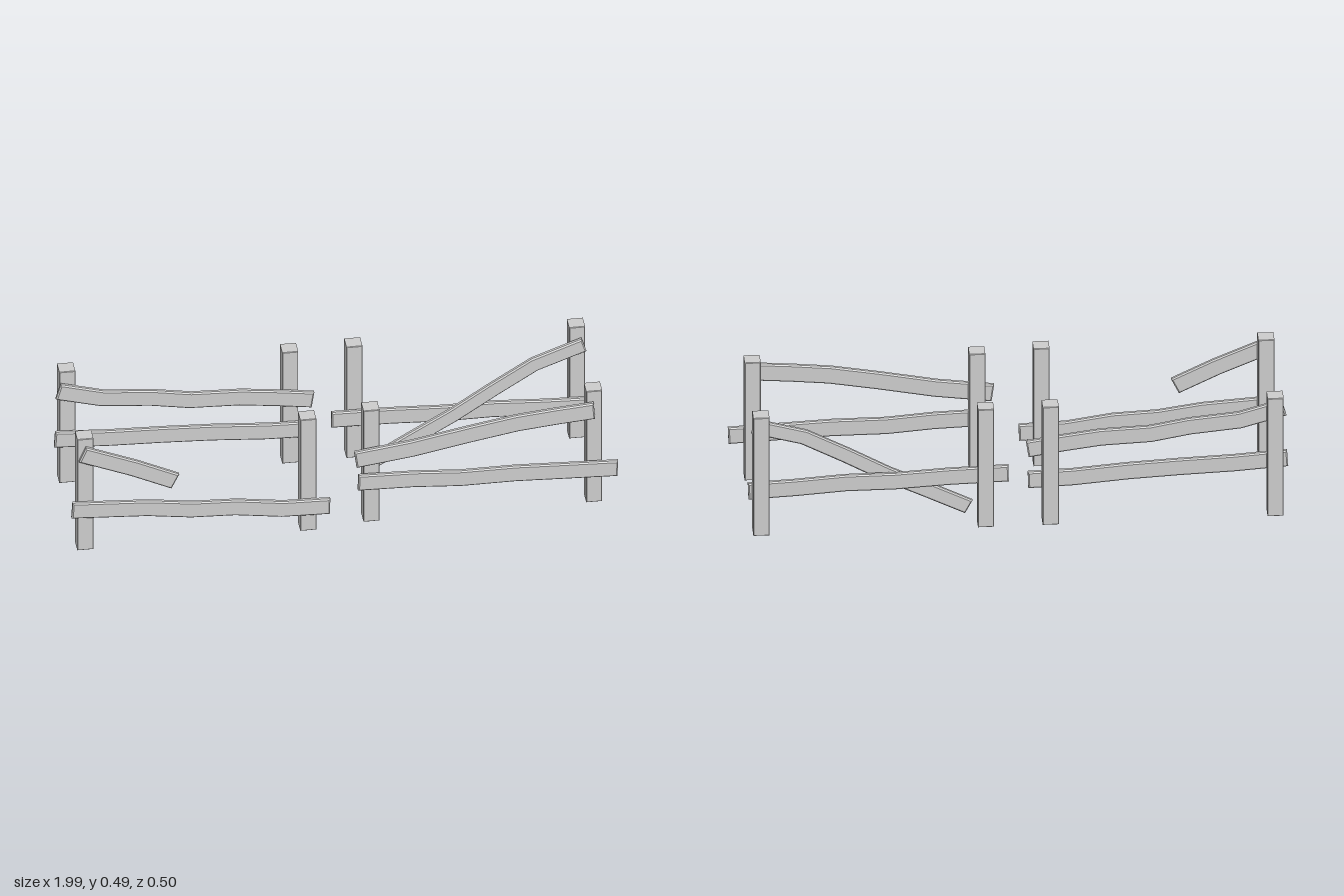
import * as THREE from 'three';

const material = new THREE.MeshStandardMaterial({ color: 0xcccccc, flatShading: true });

// Extrude an outline to a given total depth, centred on z, with a small chamfer
function chamfered(outline, depth, bevel) {
  const geometry = new THREE.ExtrudeGeometry(new THREE.Shape(outline), {
    depth: depth - 2 * bevel,
    bevelEnabled: true,
    bevelThickness: bevel,
    bevelSize: bevel,
    bevelOffset: -bevel,
    bevelSegments: 1,
  });
  return geometry.translate(0, 0, bevel - depth / 2);
}

// Upright square post
function makePost(x, z) {
  const w = 0.029;
  const outline = [[-w, 0.005], [w, 0.005], [w, 0.49], [-w, 0.49]].map(p => new THREE.Vector2(...p));
  const post = new THREE.Mesh(chamfered(outline, 0.058, 0.002), material);
  post.name = 'post';
  post.position.set(x, 0, z);
  return post;
}

// Warped plank: a board of constant thickness following a bent centre line
function makePlank(name, points, z, width = 0.066) {
  const line = points.map(p => new THREE.Vector2(...p));
  const top = [], bottom = [];
  line.forEach((p, i) => {
    const a = line[Math.max(i - 1, 0)], b = line[Math.min(i + 1, line.length - 1)];
    const dir = b.clone().sub(a).normalize();
    const normal = new THREE.Vector2(-dir.y, dir.x).multiplyScalar(width / 2);
    top.push(p.clone().add(normal));
    bottom.push(p.clone().sub(normal));
  });
  const plank = new THREE.Mesh(chamfered([...bottom, ...top.reverse()], 0.02, 0.005), material);
  plank.name = name;
  plank.position.z = z;
  return plank;
}

function makeSection(name, postXs, postZ, planks) {
  const section = new THREE.Group();
  section.name = name;
  postXs.forEach(x => section.add(makePost(x, postZ)));
  section.add(...planks);
  return section;
}

export function createModel() {
  const fence = new THREE.Group();
  fence.name = 'brokenFence';
  const rightPosts = [-0.945, -0.135], leftPosts = [0.098, 0.907];

  // Front right section, with a snapped upper rail
  fence.add(makeSection('frontRightSection', rightPosts, 0.206, [
    makePlank('brokenRail', [[-0.957, 0.43], [-0.77, 0.352], [-0.62, 0.28]], 0.243),
    makePlank('lowerRail', [[-0.995, 0.19], [-0.72, 0.172], [-0.56, 0.149], [-0.4, 0.142],
      [-0.23, 0.117], [-0.058, 0.112]], 0.243),
  ]));

  // Front left section, with a skewed upper rail
  fence.add(makeSection('frontLeftSection', leftPosts, 0.184, [
    makePlank('upperRail', [[0.037, 0.291], [0.245, 0.319], [0.45, 0.359], [0.625, 0.39],
      [0.765, 0.404], [0.905, 0.415]], 0.225, 0.069),
    makePlank('lowerRail', [[0.047, 0.19], [0.25, 0.184], [0.42, 0.171], [0.62, 0.171],
      [0.8, 0.163], [0.99, 0.155]], 0.225),
  ]));

  // Back right section, both rails sloping
  fence.add(makeSection('backRightSection', rightPosts, -0.222, [
    makePlank('upperRail', [[-0.98, 0.415], [-0.82, 0.37], [-0.64, 0.353], [-0.5, 0.328],
      [-0.32, 0.321], [-0.18, 0.303], [-0.055, 0.284]], -0.183),
    makePlank('lowerRail', [[-0.993, 0.207], [-0.8, 0.194], [-0.6, 0.187], [-0.42, 0.178],
      [-0.22, 0.162], [-0.058, 0.157]], -0.183),
  ]));

  // Back left section, with the upper rail hanging from one post
  const fallen = makePlank('fallenRail', [[0.152, 0.026], [0.3, 0.106], [0.45, 0.185],
    [0.6, 0.276], [0.75, 0.362], [0.932, 0.42]], -0.118, 0.058);
  fallen.rotation.y = 0.07;
  fence.add(makeSection('backLeftSection', leftPosts, -0.222, [
    fallen,
    makePlank('lowerRail', [[0.012, 0.188], [0.23, 0.183], [0.42, 0.173], [0.6, 0.173],
      [0.78, 0.161], [0.95, 0.154]], -0.183),
  ]));

  return fence;
}
